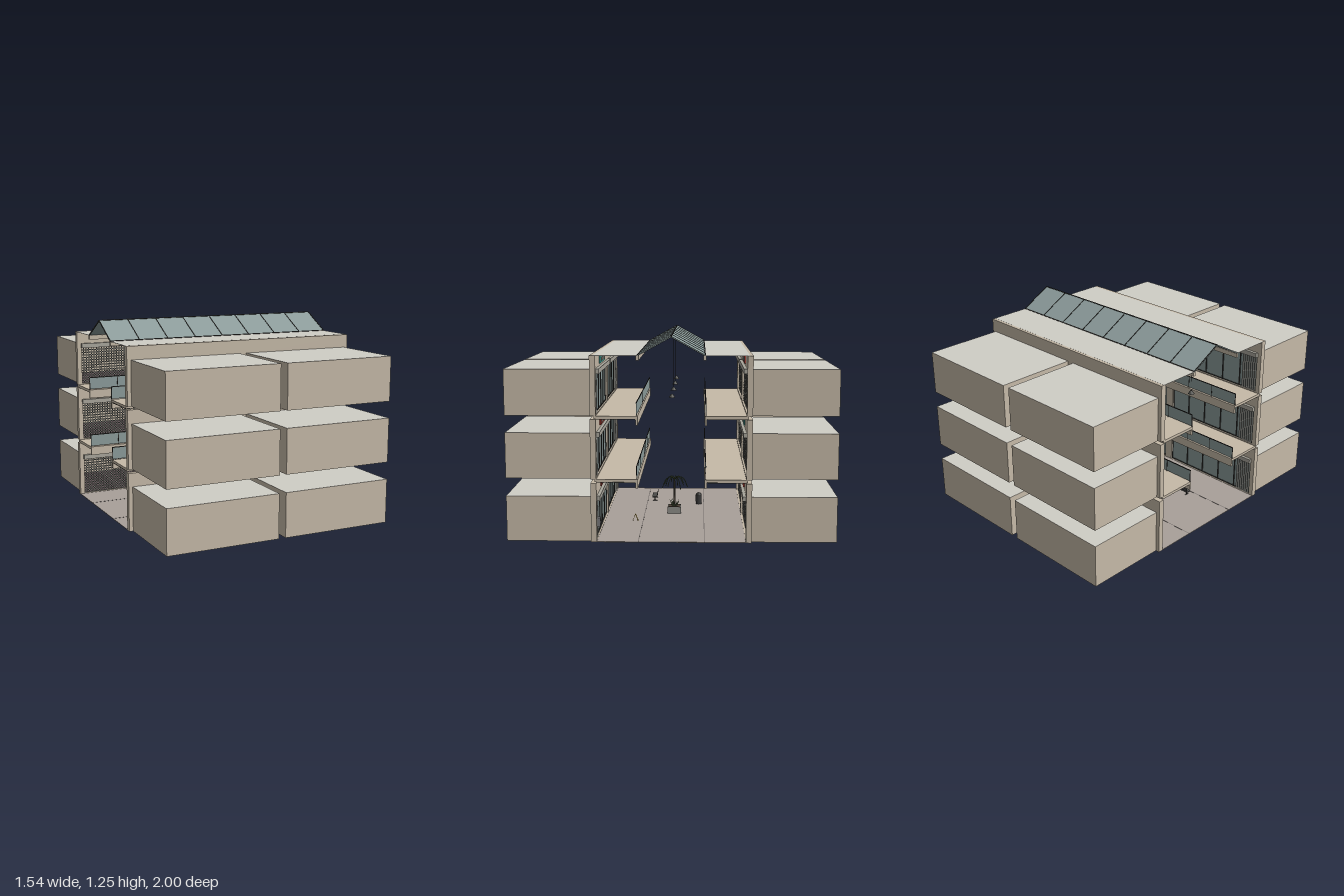
import * as THREE from 'three';
import { mergeGeometries } from 'three/addons/utils/BufferGeometryUtils.js';

const LEN = 1.54;
const LEVELS = [0, 0.387, 0.77];
const materials = new Map();
function mat(color) {
  if (!materials.has(color)) {
    const m = new THREE.MeshStandardMaterial({ side: THREE.DoubleSide });
    m.color.set(color);
    materials.set(color, m);
  }
  return materials.get(color);
}
const WALL = 0xc6baa8, ROOF = 0xd0cec6, GLASS = 0x8c9c9b, DARK = 0x2c2c2a, METAL = 0x85857f;

function mesh(parent, name, geometry, color, x = 0, y = 0, z = 0) {
  const m = new THREE.Mesh(geometry, mat(color));
  m.name = name;
  m.position.set(x, y, z);
  parent.add(m);
  return m;
}
// box given by its x centre, bottom and z centre
const box = (parent, name, color, w, h, d, x, y, z) =>
  mesh(parent, name, new THREE.BoxGeometry(w, h, d), color, x, y + h / 2, z);
function bar(w, h, d, x, y, z) {
  return new THREE.BoxGeometry(w, h, d).translate(x, y, z);
}
function group(parent, name, x = 0, y = 0, z = 0) {
  const g = new THREE.Group();
  g.name = name;
  g.position.set(x, y, z);
  parent.add(g);
  return g;
}

// storey wall with two shop openings
function wall(parent, y, h) {
  const s = new THREE.Shape([[-LEN / 2, 0], [LEN / 2, 0], [LEN / 2, h], [-LEN / 2, h]].map(p => new THREE.Vector2(...p)));
  for (const x of [-0.384, 0.384]) {
    const a = x - 0.355, b = x + 0.355;
    s.holes.push(new THREE.Path([[a, 0.006], [a, 0.25], [b, 0.25], [b, 0.006]].map(p => new THREE.Vector2(...p))));
  }
  const g = new THREE.ExtrudeGeometry(s, { depth: 0.035, bevelEnabled: false });
  mesh(parent, 'storeyWall', g, WALL, 0, y, 0.45);
}

// shop room, open towards the hall
function shopRoom(parent, x, y, h, floorColor) {
  const g = new THREE.BoxGeometry(0.722, h, 0.515);
  g.setIndex([...g.index.array].slice(0, 30));
  g.groups.pop();
  const room = mesh(parent, 'shopRoom', g, WALL, x, y + h / 2, 0.7425);
  room.material = [mat(WALL), mat(WALL), mat(ROOF), mat(floorColor), mat(WALL)];
}

// closed roller grille
function grille(parent, x, y, w, h) {
  const bars = [];
  const nx = Math.round(w / 0.018), ny = Math.round(h / 0.018);
  for (let i = 0; i <= nx; i++) bars.push(bar(0.005, h, 0.004, x - w / 2 + w * i / nx, y + h / 2, 0.465));
  for (let j = 0; j <= ny; j++) bars.push(bar(w, 0.007, 0.005, x, y + h * j / ny, 0.465));
  mesh(parent, 'rollerGrille', mergeGeometries(bars), METAL);
}

// glazed shop window with a slatted shutter at its outer end
function shopWindow(parent, x, y, w, h) {
  box(parent, 'shopGlass', GLASS, w, h, 0.003, x, y, 0.468);
  const frame = [bar(w, 0.008, 0.01, x, y + h, 0.465), bar(w, 0.008, 0.01, x, y, 0.465)];
  for (let i = 0; i <= 5; i++) frame.push(bar(0.006, h, 0.01, x - w / 2 + w * i / 5, y + h / 2, 0.465));
  mesh(parent, 'windowFrame', mergeGeometries(frame), DARK);
  const slats = [];
  const end = Math.sign(x) * w / 2;
  for (let i = 0; i < 8; i++) slats.push(bar(0.008, h, 0.006, x + end * (1 - i * 0.045), y + h / 2, 0.458));
  mesh(parent, 'slats', mergeGeometries(slats), 0xbdbdb5);
}

function shopSign(parent, x, y, color) {
  box(parent, 'signBoard', color, 0.3, 0.045, 0.008, x, y, 0.446);
  for (let i = -2; i <= 2; i++) box(parent, 'signLamp', 0xe6e3d6, 0.028, 0.022, 0.003, x + i * 0.05, y + 0.011, 0.441);
}

function walkway(parent, y) {
  box(parent, 'walkwaySlab', WALL, LEN, 0.016, 0.255, 0, y - 0.016, 0.3325);
  box(parent, 'edgeBeam', WALL, LEN, 0.055, 0.013, 0, y - 0.055, 0.2065);
  // ceiling tiles under the slab
  box(parent, 'tiledCeiling', 0x85857f, LEN - 0.01, 0.002, 0.235, 0, y - 0.018, 0.332);
  const ribs = [];
  for (let i = 0; i <= 14; i++) ribs.push(bar(0.004, 0.003, 0.235, -0.765 + i * 1.53 / 14, y - 0.0185, 0.332));
  for (let j = 0; j < 4; j++) ribs.push(bar(LEN - 0.01, 0.003, 0.004, 0, y - 0.0185, 0.22 + j * 0.075));
  mesh(parent, 'ceilingRibs', mergeGeometries(ribs), 0x55554f);
  // glass railing
  box(parent, 'railingGlass', GLASS, LEN, 0.072, 0.002, 0, y + 0.005, 0.207);
  const rail = [bar(LEN, 0.005, 0.005, 0, y + 0.08, 0.207)];
  for (let i = 0; i <= 8; i++) rail.push(bar(0.004, 0.08, 0.004, -0.768 + i * 0.192, y + 0.04, 0.207));
  mesh(parent, 'railingFrame', mergeGeometries(rail), DARK);
}

// one long half of the hall, built towards +z
function side(parent, front) {
  const s = group(parent, front ? 'frontSide' : 'backSide');
  LEVELS.forEach((y, k) => {
    wall(s, y, k === 2 ? 0.36 : 0.363);
    if (k) walkway(s, y);
    for (const x of [-0.384, 0.384]) {
      shopRoom(s, x, y, 0.278, front ? 0x8c8c8a : 0x5c5052);
      (front ? shopWindow : grille)(s, x, y + 0.006, 0.71, 0.244);
      box(s, 'shutterHousing', 0xa9a69c, 0.72, 0.03, 0.02, x, y + 0.25, 0.44);
      shopSign(s, x, y + 0.295, [0xa8453c, 0xb03a30, 0x3f9c94][(k + (x < 0 ? 1 : 0)) % 3]);
    }
  });
  box(s, 'flatRoof', ROOF, LEN, 0.002, 0.265, 0, 1.1285, 0.3325);
  box(s, 'eaveBeam', WALL, LEN, 0.028, 0.018, 0, 1.102, 0.2);

  // sloping glass with glazing bars
  const slope = group(s, 'glassSlope', 0, 1.186, 0.1);
  slope.rotation.x = Math.atan2(0.11, 0.2);
  const len = Math.hypot(0.11, 0.2);
  box(slope, 'roofGlass', GLASS, LEN, 0.003, len, 0, -0.0015, 0);
  const bars = [bar(LEN, 0.008, 0.006, 0, 0, -len / 2), bar(LEN, 0.008, 0.006, 0, 0, len / 2)];
  for (let i = 0; i <= 8; i++) bars.push(bar(0.005, 0.008, len, -0.767 + i * 0.19175, 0, 0));
  mesh(slope, 'glazingBars', mergeGeometries(bars), DARK);
  if (!front) s.rotation.y = Math.PI;
}

function palm(parent) {
  const p = group(parent, 'pottedPalm');
  box(p, 'planter', 0x8d8d88, 0.09, 0.045, 0.09, 0, 0.002, 0);
  box(p, 'soil', 0x4a3f34, 0.078, 0.003, 0.078, 0, 0.046, 0);
  mesh(p, 'trunk', new THREE.CylinderGeometry(0.005, 0.008, 0.19, 8), 0x4d463c, 0, 0.14, 0);
  for (let i = 0; i < 11; i++) {
    const a = i * Math.PI * 2 / 11, r = 0.07 + 0.02 * (i % 3) / 2;
    const tips = [[0, 0.232], [0.35, 0.25], [0.7, 0.235], [1, 0.175 + 0.02 * (i % 2)]];
    const curve = new THREE.CatmullRomCurve3(tips.map(([t, y]) => new THREE.Vector3(Math.cos(a) * r * t, y, Math.sin(a) * r * t)));
    mesh(p, 'frond', new THREE.TubeGeometry(curve, 8, 0.003, 4), 0x4b5a3e);
  }
  for (let i = 0; i < 10; i++) {
    const a = i * 2.4;
    const leaf = mesh(p, 'lowLeaf', new THREE.ConeGeometry(0.004, 0.05, 4), 0x5a6a48, Math.cos(a) * 0.025, 0.07, Math.sin(a) * 0.025);
    leaf.rotation.set(Math.sin(a) * 0.5, 0, -Math.cos(a) * 0.5);
  }
}

function bench(parent, x, z) {
  const b = group(parent, 'bench', x, 0, z);
  box(b, 'benchSeat', 0x4b4a48, 0.13, 0.005, 0.036, 0, 0.03, 0);
  box(b, 'benchBack', 0x4b4a48, 0.13, 0.022, 0.004, 0, 0.042, -0.02).rotation.x = -0.2;
  for (const sx of [-0.045, 0.045]) {
    box(b, 'benchLeg', DARK, 0.005, 0.03, 0.005, sx, 0.002, 0);
    box(b, 'benchFoot', DARK, 0.005, 0.004, 0.034, sx, 0.002, 0);
    box(b, 'backBracket', DARK, 0.004, 0.02, 0.004, sx, 0.032, -0.017);
  }
}

export function createModel() {
  const root = new THREE.Group();
  root.name = 'shoppingHall';

  // ground floor with tile joints
  box(root, 'hallFloor', 0xa9a09a, LEN, 0.004, 0.97, 0, 0, 0);
  for (const z of [-0.2, 0.2]) box(root, 'floorJoint', 0x6d6864, LEN, 0.001, 0.004, 0, 0.004, z);

  side(root, true);
  side(root, false);

  // pendant lamps below the ridge
  for (const x of [-0.58, -0.19, 0.19, 0.58]) {
    mesh(root, 'lampShade', new THREE.CylinderGeometry(0.005, 0.02, 0.022, 16, 1, true), 0x4a4a46, x, 0.872, 0);
    mesh(root, 'lampCord', new THREE.CylinderGeometry(0.001, 0.001, 0.355, 4), DARK, x, 1.06, 0);
  }

  // hall furniture
  palm(root);
  bench(root, -0.395, 0.15);
  const bin = group(root, 'wasteBin', -0.25, 0.004, -0.165);
  mesh(bin, 'binBody', new THREE.CylinderGeometry(0.022, 0.02, 0.06, 16), 0x3a3a3a, 0, 0.03, 0);
  mesh(bin, 'binLid', new THREE.SphereGeometry(0.022, 16, 6, 0, Math.PI * 2, 0, Math.PI / 2), DARK, 0, 0.06, 0);
  const caution = group(root, 'floorStand', 0.25, 0.004, 0.25);
  for (const s of [-1, 1]) box(caution, 'standPanel', 0xc9a83a, 0.024, 0.045, 0.002, 0, 0, s * 0.009).rotation.x = -s * 0.35;

  // wall box beside the shop window
  box(root, 'wallBox', 0x77777a, 0.04, 0.055, 0.018, 0.71, 0.085, 0.441);
  mesh(root, 'wallBoxDial', new THREE.CylinderGeometry(0.014, 0.014, 0.004, 16).rotateX(Math.PI / 2), DARK, 0.71, 0.112, 0.431);

  return root;
}
